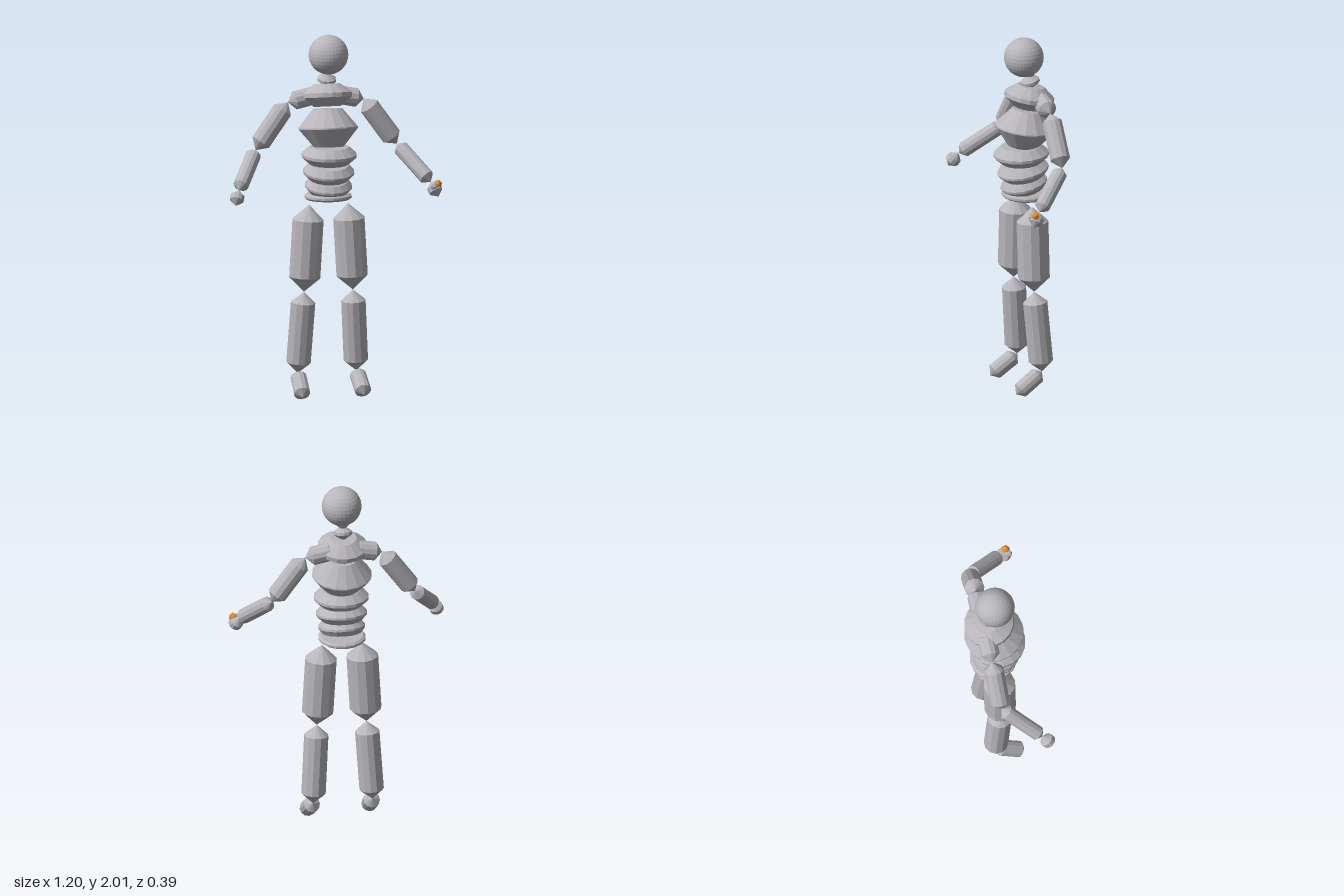
import * as THREE from 'three';

const grey = new THREE.MeshStandardMaterial({ color: 0xb8b6bb });
grey.name = 'grey';
const orange = new THREE.MeshStandardMaterial({ color: 0xe09030 });
orange.name = 'orange';

// Faceted mesh with hard normals
function faceted(geometry, material, name) {
  const flat = geometry.toNonIndexed();
  flat.computeVertexNormals();
  const mesh = new THREE.Mesh(flat, material);
  mesh.name = name;
  return mesh;
}

// Solid turned about y from [radius, height] pairs, listed bottom to top
function turned(profile, sides, material, name) {
  const points = profile.map(([r, y]) => new THREE.Vector2(r, y));
  return faceted(new THREE.LatheGeometry(points, sides), material, name);
}

// Cylinder with pointed ends, running from joint a to joint b
function bone(name, a, b, r, cone = r * 0.94, material = grey, sides = 12) {
  const from = new THREE.Vector3(...a);
  const dir = new THREE.Vector3(...b).sub(from);
  const len = dir.length();
  const mesh = turned([[0, 0], [r, cone], [r, len - cone], [0, len]], sides, material, name);
  mesh.position.copy(from);
  mesh.quaternion.setFromUnitVectors(new THREE.Vector3(0, 1, 0), dir.normalize());
  return mesh;
}

// Spine segment: a wide rim that narrows to flat lids, tilted about x
function segment(name, y, z, r, lid, half, rim, tilt) {
  const mesh = turned(
    [[0, -half], [lid, -half], [r, -rim], [r, rim], [lid, half], [0, half]], 16, grey, name);
  mesh.position.set(0, y, z);
  mesh.rotation.x = tilt;
  return mesh;
}

export function createModel() {
  const model = new THREE.Group();
  model.name = 'jointedFigure';

  // Head and neck
  const head = faceted(new THREE.SphereGeometry(0.109, 32, 16), grey, 'head');
  head.position.set(0, 1.891, -0.021);
  model.add(head);
  model.add(bone('upperNeck', [0, 1.765, -0.07], [0, 1.86, -0.03], 0.04, 0.035));
  model.add(bone('lowerNeck', [0, 1.705, -0.072], [0, 1.79, -0.048], 0.052, 0.036));

  // Torso, from shoulders to hips
  model.add(segment('upperChest', 1.66, -0.053, 0.138, 0.075, 0.062, 0.012, -0.19));
  model.add(segment('lowerChest', 1.483, -0.026, 0.165, 0.082, 0.105, 0.004, -0.15));
  model.add(segment('upperWaist', 1.335, -0.005, 0.152, 0.108, 0.048, 0.008, 0.04));
  model.add(segment('middleWaist', 1.242, -0.016, 0.142, 0.108, 0.042, 0.006, 0.18));
  model.add(segment('lowerWaist', 1.163, -0.021, 0.13, 0.105, 0.036, 0.006, 0.23));
  model.add(segment('pelvis', 1.102, -0.029, 0.131, 0.118, 0.016, 0.006, -0.03));

  // Limbs on both sides
  for (const [side, s] of [['left', 1], ['right', -1]]) {
    const limb = (part, a, b, r, cone) =>
      model.add(bone(side + part, [s * a[0], a[1], a[2]], [s * b[0], b[1], b[2]], r, cone));
    const shoulder = [0.213, 1.625, -0.083];
    const elbow = [0.398, 1.368, -0.073];
    const wrist = [0.54, 1.187, 0.127];
    const knee = [0.138, 0.577, -0.021];
    const ankle = [0.165, 0.12, -0.055];
    limb('Collar', [0.04, 1.66, -0.088], shoulder, 0.052, 0.04);
    limb('UpperArm', shoulder, elbow, 0.055);
    limb('Forearm', elbow, wrist, 0.042, 0.036);
    limb('Hand', wrist, [0.572, 1.112, 0.178], 0.039, 0.033);
    limb('Thigh', [0.11, 1.06, -0.021], knee, 0.088);
    limb('Shin', knee, ankle, 0.067, 0.06);
    limb('Foot', ankle, [0.173, 0.012, 0.103], 0.045, 0.032);
  }

  // Two small fingers on the left hand
  model.add(bone('orangeFinger', [0.55, 1.172, 0.155], [0.592, 1.187, 0.174], 0.021, 0.012, orange));
  model.add(bone('greyFinger', [0.545, 1.172, 0.15], [0.549, 1.168, 0.198], 0.02, 0.012));

  return model;
}
